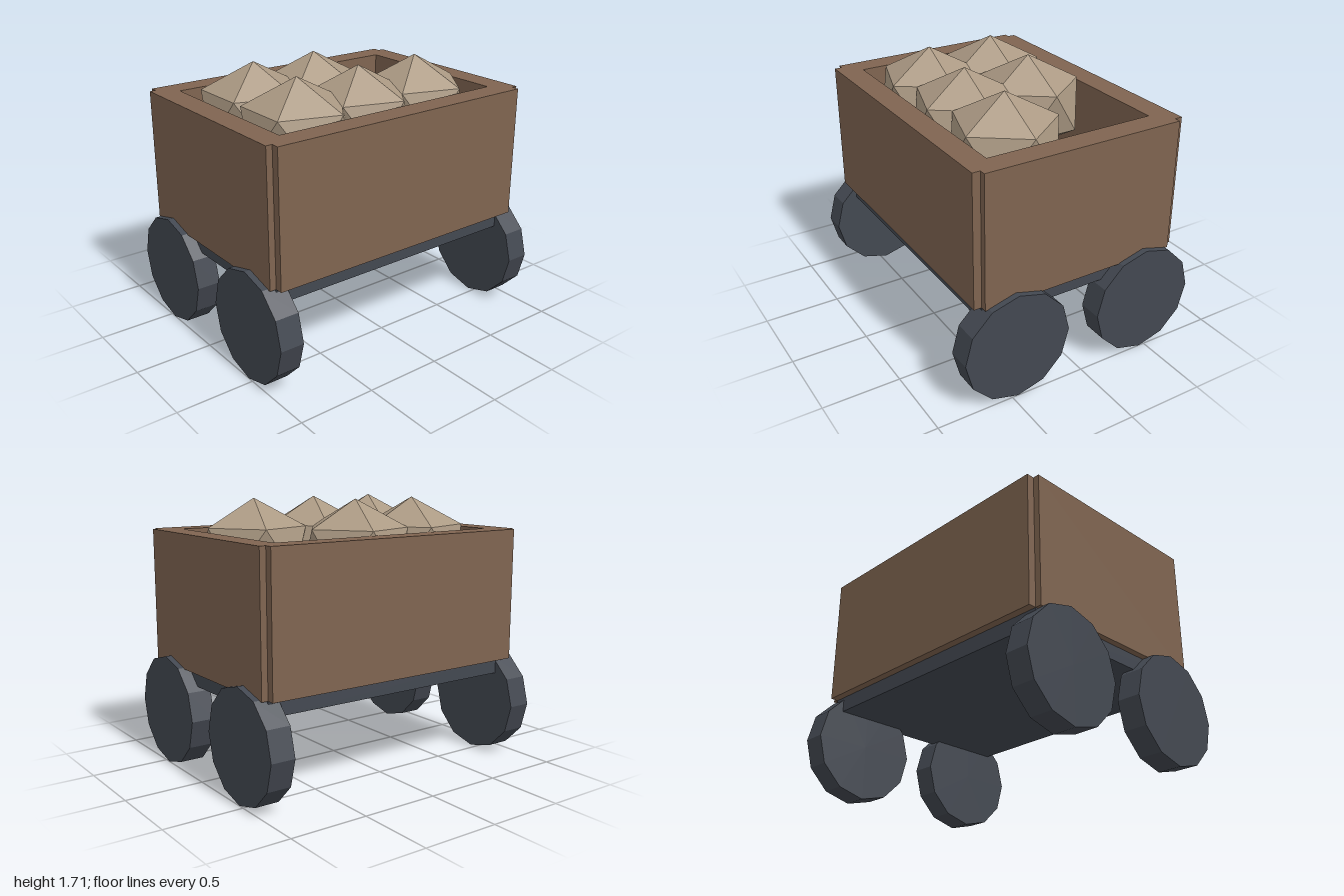
import * as THREE from 'three';
import { ConvexGeometry } from 'three/addons/geometries/ConvexGeometry.js';

const material = (name, color) => {
  const m = new THREE.MeshStandardMaterial({ color, flatShading: true });
  m.name = name;
  return m;
};

// Faceted boulder: a point at top and bottom, with two staggered rings of five
function boulderGeometry(radius, height) {
  const points = [new THREE.Vector3(0, height, 0), new THREE.Vector3(0, -height, 0)];
  for (let i = 0; i < 10; i++) {
    const a = (i * Math.PI) / 5;
    const y = (i % 2 ? -1 : 1) * height * 0.447;
    points.push(new THREE.Vector3(radius * Math.cos(a), y, radius * Math.sin(a)));
  }
  return new ConvexGeometry(points);
}

export function createModel() {
  const wood = material('brown wood', 0x7f6450);
  const iron = material('dark iron', 0x434851);
  const stone = material('tan stone', 0xac9a84);
  const cart = new THREE.Group();
  cart.name = 'mineCart';

  const add = (name, geometry, mat, x, y, z) => {
    const mesh = new THREE.Mesh(geometry, mat);
    mesh.name = name;
    mesh.position.set(x, y, z);
    cart.add(mesh);
    return mesh;
  };

  // Chassis, which is also the floor of the box
  add('chassis', new THREE.BoxGeometry(1.84, 0.1, 1.32), iron, 0, 0.607, 0);

  // Open wooden box with notched corners
  const corner = [[0.96, 0.66], [0.92, 0.66], [0.92, 0.71]];
  const outline = [
    ...corner,
    ...corner.map(([x, z]) => [-x, z]).reverse(),
    ...corner.map(([x, z]) => [-x, -z]),
    ...corner.map(([x, z]) => [x, -z]).reverse(),
  ].map(([x, z]) => new THREE.Vector2(x, z));
  const walls = new THREE.Shape(outline);
  walls.holes.push(new THREE.Path([[0.805, 0.555], [0.805, -0.555], [-0.805, -0.555], [-0.805, 0.555]]
    .map(([x, z]) => new THREE.Vector2(x, z))));
  const wallGeometry = new THREE.ExtrudeGeometry(walls, { depth: 0.853, bevelEnabled: false });
  wallGeometry.rotateX(-Math.PI / 2);
  add('boxWalls', wallGeometry, wood, 0, 0.656, 0);

  // Four twelve-sided wheels
  const wheelGeometry = new THREE.CylinderGeometry(0.354, 0.354, 0.155, 12);
  wheelGeometry.rotateZ(Math.PI / 2);
  for (const x of [-1, 1]) {
    for (const z of [-1, 1]) {
      const name = (z > 0 ? 'front' : 'back') + (x > 0 ? 'Left' : 'Right') + 'Wheel';
      add(name, wheelGeometry, iron, x * 0.9225, 0.355, z * 0.46);
    }
  }

  // Load of five boulders, with one place left empty
  const boulder = boulderGeometry(0.33, 0.32);
  [[-0.46, -0.23], [0, -0.23], [-0.46, 0.23], [0, 0.23], [0.46, 0.23]].forEach(([x, z], i) => {
    add(`boulder${i + 1}`, boulder, stone, x, 1.391, z);
  });

  return cart;
}
